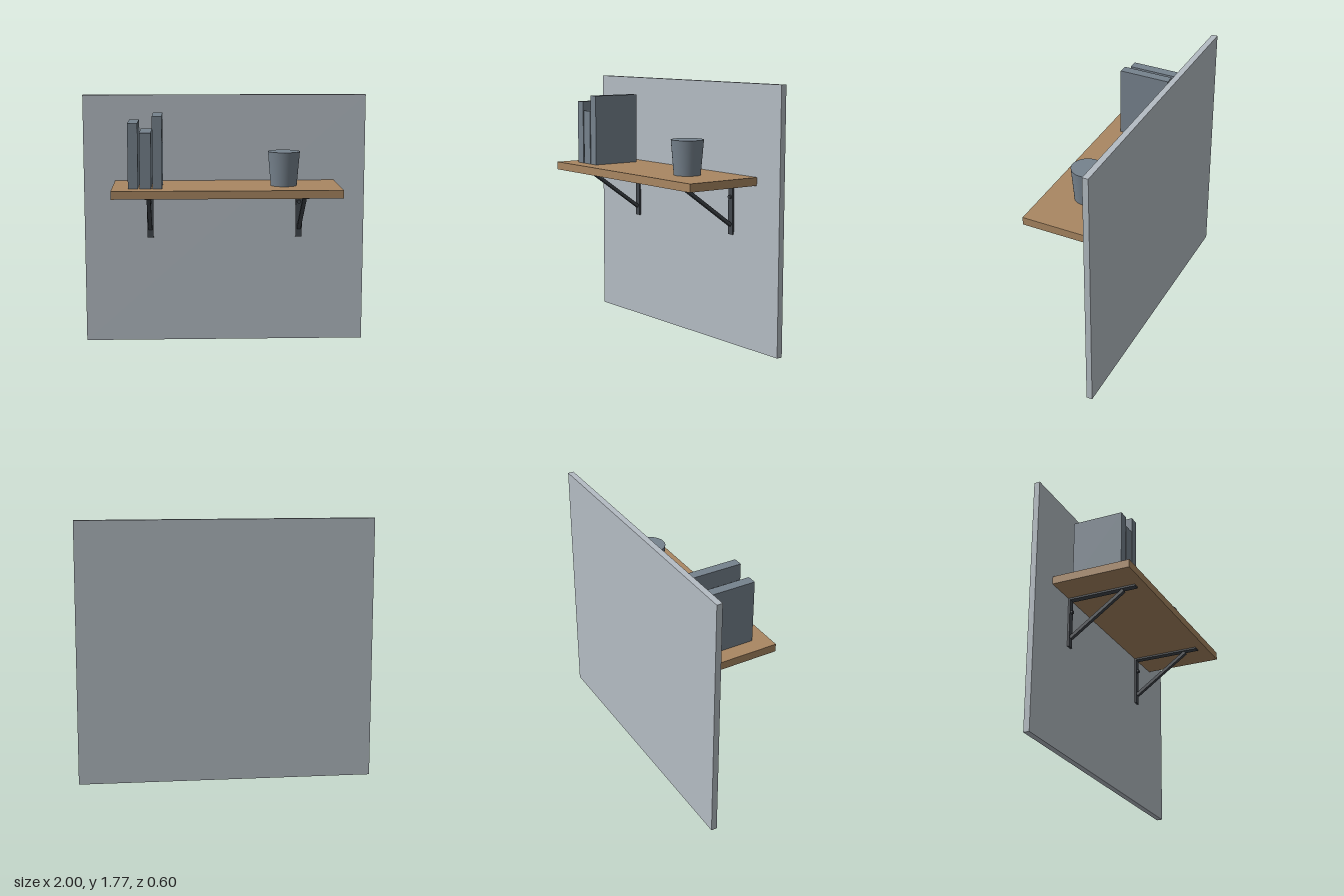
import * as THREE from 'three';

function material(name, color) {
  const m = new THREE.MeshStandardMaterial({ color });
  m.name = name;
  return m;
}

export function createModel() {
  const model = new THREE.Group();
  model.name = 'wallShelf';
  const wallGrey = material('wall grey', 0xb4bcc3);
  const wood = material('wood', 0xa98762);
  const slate = material('slate grey', 0x76828d);
  const iron = material('dark iron', 0x41464c);

  // Box given by its [min, max] range on each axis
  function box(parent, name, mat, [x0, x1], [y0, y1], [z0, z1]) {
    const mesh = new THREE.Mesh(new THREE.BoxGeometry(x1 - x0, y1 - y0, z1 - z0), mat);
    mesh.position.set((x0 + x1) / 2, (y0 + y1) / 2, (z0 + z1) / 2);
    mesh.name = name;
    parent.add(mesh);
    return mesh;
  }

  const wallZ = -0.257, shelfBottom = 1.112, shelfTop = 1.167;
  box(model, 'wall', wallGrey, [-1, 1], [0, 1.775], [-0.298, wallZ]);
  box(model, 'shelfBoard', wood, [-0.779, 0.779], [shelfBottom, shelfTop], [wallZ, 0.298]);

  // Books: left edge, right edge, top
  const books = [[-0.668, -0.6, 1.61], [-0.589, -0.511, 1.546], [-0.503, -0.437, 1.657]];
  books.forEach(([x0, x1, top], i) =>
    box(model, `book${i + 1}`, slate, [x0, x1], [shelfTop, top], [-0.167, 0.188]));

  // Tapered pot
  const potHeight = 1.402 - shelfTop;
  const pot = new THREE.Mesh(new THREE.CylinderGeometry(0.11, 0.09, potHeight, 48), slate);
  pot.position.set(0.398, shelfTop + potHeight / 2, 0.02);
  pot.name = 'pot';
  model.add(pot);

  // Triangular brackets with a diagonal brace
  for (const side of [-1, 1]) {
    const bracket = new THREE.Group();
    bracket.name = side < 0 ? 'rightBracket' : 'leftBracket';
    bracket.position.x = side * 0.532;
    model.add(bracket);
    const half = 0.0225;
    box(bracket, 'wallPlate', iron, [-half, half], [0.757, shelfBottom], [wallZ, -0.244]);
    box(bracket, 'shelfPlate', iron, [-half, half], [1.1, shelfBottom], [wallZ, 0.234]);

    const low = new THREE.Vector3(0, 0.823, -0.243);
    const high = new THREE.Vector3(0, 1.095, 0.144);
    const brace = new THREE.Mesh(new THREE.BoxGeometry(0.027, 0.023, low.distanceTo(high)), iron);
    brace.position.copy(low).lerp(high, 0.5);
    brace.rotation.x = -Math.atan2(high.y - low.y, high.z - low.z);
    brace.name = 'brace';
    bracket.add(brace);

    const screw = new THREE.Mesh(new THREE.CylinderGeometry(0.013, 0.013, 0.014, 16), iron);
    screw.rotation.x = Math.PI / 2;
    screw.position.set(0, 1.013, -0.237);
    screw.name = 'screwHead';
    bracket.add(screw);
  }
  return model;
}
